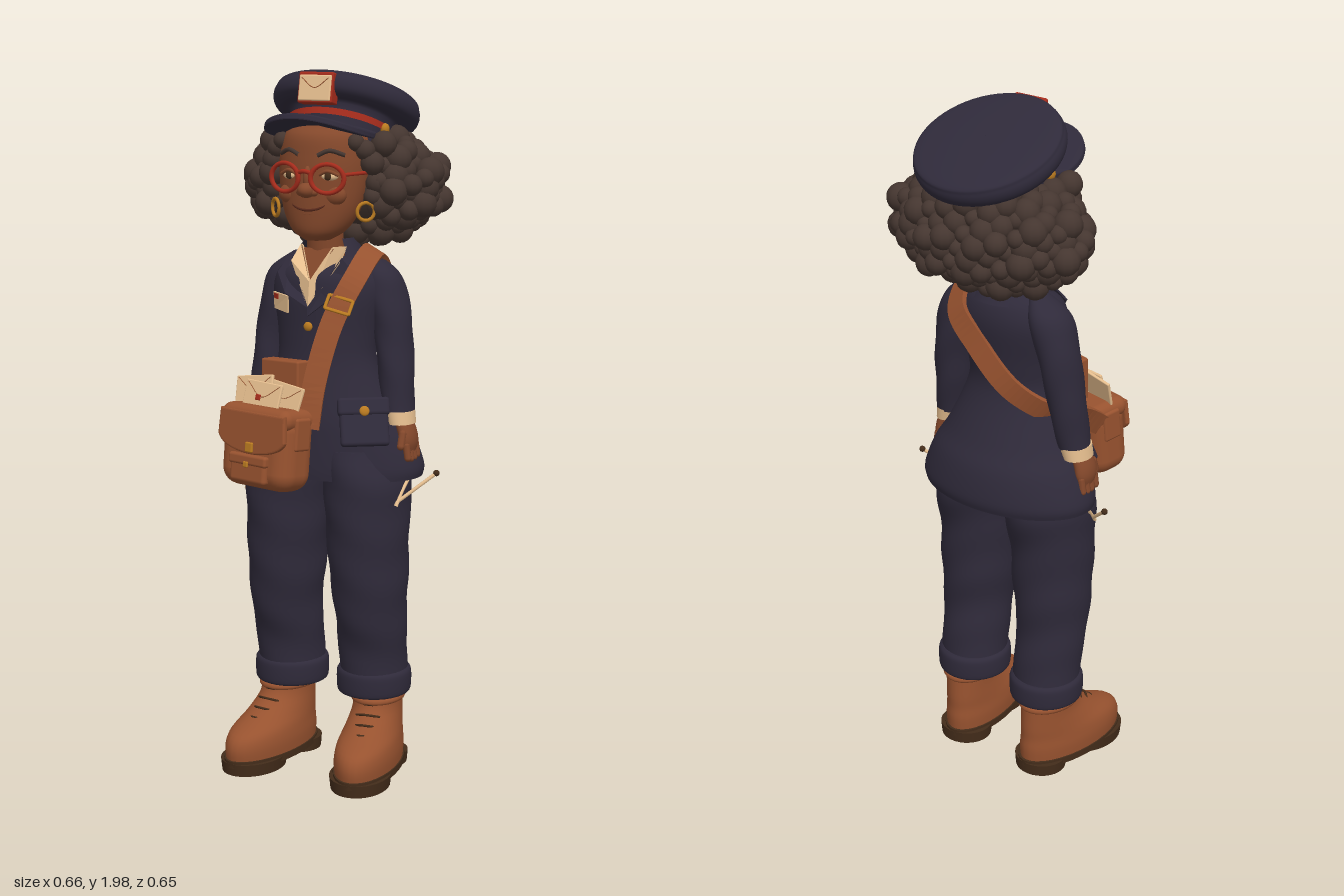
import * as THREE from 'three';
import { mergeGeometries } from 'three/addons/utils/BufferGeometryUtils.js';
import { RoundedBoxGeometry } from 'three/addons/geometries/RoundedBoxGeometry.js';

const mat = (name, color) => Object.assign(new THREE.MeshStandardMaterial({ color }), { name });
const V = (x, y, z) => new THREE.Vector3(x, y, z);

// rows run bottom to top: [y, centreX, centreZ, radiusX, radiusZ]
function loft(rows, { seg = 32, steps = 5, fold = 0, side = 1 } = {}) {
  const spline = [1, 2, 3, 4, 0].map(k => new THREE.SplineCurve(rows.map((r, i) => new THREE.Vector2(i, r[k]))));
  const n = (rows.length - 1) * steps, pos = [], idx = [];
  for (let i = 0; i <= n; i++) {
    const [cx, cz, rx, rz, y] = spline.map(s => s.getPoint(i / n).y);
    for (let j = 0; j < seg; j++) {
      const a = j / seg * Math.PI * 2, f = 1 + fold * Math.sin(y * 42 + 2 * Math.sin(a + 1) * 1.7);
      pos.push(cx * side + Math.cos(a) * rx * f, y, cz + Math.sin(a) * rz * f);
    }
  }
  for (let i = 0; i < n; i++) for (let j = 0; j < seg; j++) {
    const a = i * seg + j, b = i * seg + (j + 1) % seg;
    idx.push(a, a + seg, b, b, a + seg, b + seg);
  }
  // flat end caps with their own vertices
  for (const end of [0, n]) {
    const start = pos.length / 3, ring = pos.slice(end * seg * 3, (end + 1) * seg * 3), r = rows[end ? rows.length - 1 : 0];
    pos.push(...ring, r[1] * side, r[0], r[2]);
    for (let j = 0; j < seg; j++) {
      const a = start + j, b = start + (j + 1) % seg;
      end ? idx.push(a, start + seg, b) : idx.push(a, b, start + seg);
    }
  }
  const g = new THREE.BufferGeometry();
  g.setAttribute('position', new THREE.Float32BufferAttribute(pos, 3));
  g.setIndex(idx);
  g.computeVertexNormals();
  return g;
}

// flat strap swept along a path, facing away from the chest
function strapGeometry(points, halfWidth, halfThick) {
  const curve = new THREE.CatmullRomCurve3(points), n = 70, pos = [], idx = [], mid = V(0, 1.25, -0.02);
  for (let i = 0; i <= n; i++) {
    const p = curve.getPoint(i / n), t = curve.getTangent(i / n), out = p.clone().sub(mid);
    const b = t.clone().cross(out).normalize(), o = b.clone().cross(t).normalize();
    for (const [u, v] of [[-1, -1], [1, -1], [1, 1], [-1, 1]])
      pos.push(...p.clone().addScaledVector(b, u * halfWidth).addScaledVector(o, v * halfThick).toArray());
  }
  for (let i = 0; i < n; i++) for (let j = 0; j < 4; j++) {
    const a = i * 4 + j, b = i * 4 + (j + 1) % 4;
    idx.push(a, b, a + 4, b, b + 4, a + 4);
  }
  let g = new THREE.BufferGeometry();
  g.setAttribute('position', new THREE.Float32BufferAttribute(pos, 3));
  g.setIndex(idx);
  g = g.toNonIndexed();
  g.computeVertexNormals();
  return g;
}

const TORSO = [[0.865, 0, -0.035, 0.268, 0.17], [0.9, 0, -0.037, 0.27, 0.174], [0.98, 0, -0.03, 0.24, 0.166],
  [1.05, 0, -0.015, 0.2, 0.147], [1.18, 0, 0, 0.147, 0.11], [1.27, 0, -0.005, 0.147, 0.11], [1.38, 0, -0.015, 0.165, 0.12],
  [1.44, 0, -0.02, 0.145, 0.11], [1.49, 0, -0.015, 0.09, 0.088], [1.515, 0, -0.01, 0.06, 0.065]];

// front surface of the chest
function torsoZ(x, y) {
  const i = Math.max(1, TORSO.findIndex(r => r[0] >= y)), a = TORSO[i - 1], b = TORSO[i];
  const t = (y - a[0]) / (b[0] - a[0]), l = k => a[k] + (b[k] - a[k]) * t;
  return l(2) + l(4) * Math.sqrt(Math.max(0.08, 1 - (x / l(3)) ** 2));
}

export function createModel() {
  const root = new THREE.Group();
  const navy = mat('navy cloth', 0x2f2a3a), leather = mat('tan leather', 0x97522f), skin = mat('skin', 0x84482b);
  const hair = mat('hair', 0x453630), cream = mat('cream', 0xe8c090), red = mat('red', 0xa62c1c);
  const gold = mat('gold', 0xb97a20), dark = mat('dark brown', 0x432c1a), lip = mat('lip', 0x5a2a1c);
  navy.side = leather.side = THREE.DoubleSide;

  const add = (name, g, m, p = [0, 0, 0], r = [0, 0, 0], s = [1, 1, 1], parent = root) => {
    const o = new THREE.Mesh(g, m);
    o.name = name;
    o.position.set(...p); o.rotation.set(...r, 'YXZ'); o.scale.set(...s);
    parent.add(o);
    return o;
  };
  const group = (name, p, r, parent = root) => {
    const g = new THREE.Group();
    g.name = name; g.position.set(...p); g.rotation.set(...r, 'YXZ');
    parent.add(g);
    return g;
  };
  const ball = new THREE.SphereGeometry(1, 20, 14);
  const box = (x, y, z, r = 0.01) => new RoundedBoxGeometry(x, y, z, 4, r);
  const tube = (pts, r) => new THREE.TubeGeometry(new THREE.CatmullRomCurve3(pts.map(p => V(...p))), 16, r, 8);
  const both = f => [1, -1].forEach(f);
  const outline = pts => new THREE.Shape(pts.map(p => new THREE.Vector2(...p)));
  // thin plate laid over the chest
  const chestPlate = (name, pts, m, lift) => {
    const g = new THREE.ExtrudeGeometry(outline(pts), { depth: 0.008, bevelEnabled: false });
    const a = g.attributes.position;
    for (let i = 0; i < a.count; i++) a.setZ(i, a.getZ(i) + torsoZ(a.getX(i), a.getY(i)) + lift);
    g.computeVertexNormals();
    return add(name, g, m);
  };

  // legs, boots and arms
  both(s => {
    add('trouserLeg', loft([[0.24, 0.132, -0.035, 0.095, 0.1], [0.36, 0.132, -0.026, 0.098, 0.1], [0.46, 0.134, -0.008, 0.1, 0.108],
      [0.58, 0.13, -0.003, 0.109, 0.122], [0.72, 0.126, 0, 0.114, 0.132], [0.85, 0.121, -0.01, 0.118, 0.15],
      [0.95, 0.1, -0.01, 0.1, 0.14]], { side: s, fold: 0.018 }), navy);
    add('trouserCuff', loft([[0.225, 0.132, -0.034, 0.095, 0.098], [0.235, 0.132, -0.034, 0.105, 0.108],
      [0.285, 0.132, -0.034, 0.106, 0.109], [0.3, 0.132, -0.034, 0.096, 0.1]], { side: s }), navy);

    const boot = group('boot', [0.15 * s, 0, 0], [0, 0.15 * s, 0]);
    const bootPart = (name, rows, m) => add(name, loft(rows, { steps: 4 }), m, undefined, undefined, undefined, boot);
    bootPart('bootUpper', [[0.035, 0, 0.051, 0.085, 0.187], [0.075, 0, 0.051, 0.087, 0.189], [0.11, 0, 0.041, 0.083, 0.176],
      [0.145, 0, 0.001, 0.075, 0.136], [0.19, 0, -0.032, 0.068, 0.1], [0.25, 0, -0.04, 0.068, 0.088]], leather);
    bootPart('sole', [[0.022, 0, 0.051, 0.089, 0.195], [0.042, 0, 0.051, 0.089, 0.195]], dark);
    bootPart('heel', [[0, 0, -0.07, 0.075, 0.072], [0.035, 0, -0.07, 0.078, 0.074]], dark);
    bootPart('forefootSole', [[0, 0, 0.135, 0.082, 0.108], [0.035, 0, 0.135, 0.086, 0.111]], dark);
    add('bootCollar', new THREE.TorusGeometry(0.068, 0.01, 8, 28), leather, [0, 0.215, -0.037], [Math.PI / 2, 0, 0], [1, 1.3, 1], boot);
    for (let i = 0; i < 4; i++) {
      const y = 0.14 + i * 0.022, z = 0.135 - i * 0.026;
      add('lace', tube([[-0.035, y - 0.006, z - 0.02], [0, y + 0.004, z + 0.002], [0.035, y - 0.006, z - 0.02]], 0.0035), dark, undefined, undefined, undefined, boot);
    }

    add('sleeve', loft([[1.05, 0.212, -0.02, 0.042, 0.05], [1.15, 0.198, -0.03, 0.048, 0.058], [1.25, 0.186, -0.04, 0.051, 0.063],
      [1.36, 0.164, -0.045, 0.056, 0.068], [1.43, 0.138, -0.045, 0.054, 0.062], [1.478, 0.105, -0.045, 0.02, 0.03]],
      { side: s, fold: 0.025 }), navy);
    add('shirtCuff', loft([[1.02, 0.222, -0.016, 0.037, 0.05], [1.055, 0.214, -0.018, 0.041, 0.052]], { side: s }), cream);
    add('hand', loft([[0.945, 0.248, -0.012, 0.015, 0.03], [0.97, 0.246, -0.012, 0.022, 0.04], [1.0, 0.24, -0.012, 0.024, 0.039],
      [1.04, 0.224, -0.014, 0.025, 0.032]], { side: s }), skin);
    for (let i = 0; i < 4; i++)
      add('finger', new THREE.CapsuleGeometry(0.0105, 0.035, 4, 8), skin, [0.254 * s, 0.94 + 0.004 * Math.abs(i - 1.5), 0.018 - i * 0.02], [0, 0, 0.15 * s]);
    add('thumb', new THREE.CapsuleGeometry(0.011, 0.035, 4, 8), skin, [0.243 * s, 0.98, 0.03], [-0.35, 0, 0]);

    // crossed knitting needles at the hip
    const a = V(0.2 * s, 0.775, 0.07), b = V(0.322 * s, 0.883, -0.03);
    add('needle', tube([a.toArray(), a.clone().lerp(b, 0.5).toArray(), b.toArray()], 0.005), cream);
    add('needleKnob', ball, dark, b.toArray(), undefined, [0.009, 0.009, 0.009]);
    add('crossedNeedle', tube([[0.236 * s, 0.795, 0.05], [0.24 * s, 0.83, 0.022], [0.245 * s, 0.862, -0.01]], 0.005), cream);

    // hip pocket
    const pocket = group('hipPocket', [0.153 * s, 1.035, 0.083], [-0.38, 0.6 * s, 0]);
    add('pocketBody', box(0.135, 0.12, 0.025), navy, [0, -0.01, 0], undefined, undefined, pocket);
    add('pocketFlap', box(0.145, 0.05, 0.035), navy, [0, 0.04, 0], undefined, undefined, pocket);
    add('pocketButton', ball, gold, [0, 0.025, 0.019], undefined, [0.014, 0.014, 0.007], pocket);
  });

  // jacket, collar and shirt
  add('jacket', loft([...TORSO.slice(0, 8), [1.475, 0, -0.04, 0.1, 0.07]], { seg: 48 }), navy);
  add('neck', loft([[1.38, 0, 0, 0.055, 0.055], [1.57, 0, 0.02, 0.05, 0.05]]), skin);
  add('collar', new THREE.CylinderGeometry(0.068, 0.114, 0.075, 32, 1, true, 0.95, Math.PI * 2 - 1.9), navy, [0, 1.488, -0.018]);
  chestPlate('throat', [[0, 1.405], [0.048, 1.5], [-0.048, 1.5]], skin, 0.004);
  both(s => {
    chestPlate('shirtCollar', [[0, 1.34], [0.074 * s, 1.465], [0.07 * s, 1.505], [0.045 * s, 1.505], [0, 1.415]], cream, 0.009);
    chestPlate('lapel', [[0, 1.32], [0.075 * s, 1.38], [0.122 * s, 1.43], [0.098 * s, 1.48], [0.076 * s, 1.478], [0, 1.345]], navy, 0.013);
  });
  chestPlate('nameTag', [[-0.13, 1.328], [-0.068, 1.323], [-0.068, 1.37], [-0.13, 1.375]], cream, 0.009);
  chestPlate('tagMark', [[-0.126, 1.358], [-0.108, 1.357], [-0.108, 1.371], [-0.126, 1.372]], red, 0.011);
  add('jacketButton', ball, gold, [-0.005, 1.29, 0.11], undefined, [0.013, 0.013, 0.008]);

  // shoulder strap and satchel
  add('strap', strapGeometry([V(0.05, 1.03, 0.22), V(0.058, 1.15, 0.195), V(0.085, 1.31, 0.143), V(0.122, 1.425, 0.08), V(0.125, 1.49, -0.035),
    V(0.1, 1.42, -0.137), V(0.03, 1.33, -0.142), V(-0.07, 1.22, -0.125), V(-0.145, 1.15, -0.06), V(-0.165, 1.1, 0.06),
    V(-0.17, 1.02, 0.18)], 0.031, 0.007), leather);
  const buckle = group('strapBuckle', [0.1, 1.36, 0.132], [-0.5, 0.4, -0.3]);
  both(s => {
    add('buckleBar', box(0.07, 0.009, 0.008, 0.003), gold, [0, 0.02 * s, 0], undefined, undefined, buckle);
    add('buckleSide', box(0.009, 0.045, 0.008, 0.003), gold, [0.034 * s, 0, 0], undefined, undefined, buckle);
  });
  const bag = group('satchel', [-0.068, 0.97, 0.233], [-0.1, -0.25, 0]);
  const inBag = (name, g, m, p, r) => add(name, g, m, p, r, undefined, bag);
  inBag('bagBody', box(0.252, 0.215, 0.132, 0.05), leather, [0, -0.004, 0]);
  const flap = new THREE.Shape();
  flap.moveTo(-0.112, 0.035);
  flap.lineTo(-0.116, -0.03);
  flap.quadraticCurveTo(-0.1, -0.065, 0, -0.07);
  flap.quadraticCurveTo(0.1, -0.065, 0.116, -0.03);
  flap.lineTo(0.112, 0.035);
  inBag('flapFront', new THREE.ExtrudeGeometry(flap, { depth: 0.006, bevelSize: 0.006, bevelThickness: 0.005, bevelSegments: 3 }), leather, [0, 0.06, 0.06]);
  inBag('flapTop', box(0.248, 0.06, 0.14, 0.029), leather, [0, 0.086, 0.001]);
  inBag('bagPocket', box(0.13, 0.075, 0.03, 0.012), leather, [0, -0.057, 0.063]);
  inBag('bagPocketFlap', box(0.136, 0.03, 0.036, 0.008), leather, [0, -0.03, 0.064]);
  inBag('bagClasp', box(0.026, 0.028, 0.01, 0.004), gold, [0, 0.004, 0.073]);
  inBag('pocketClasp', box(0.016, 0.016, 0.008, 0.003), gold, [0, -0.042, 0.083]);
  both(s => inBag('strapTab', box(0.02, 0.09, 0.06, 0.008), leather, [0.12 * s, 0.05, 0]));
  inBag('parcel', box(0.135, 0.13, 0.05, 0.006), leather, [0.02, 0.178, -0.035], [0.05, 0, 0.03]);
  [[-0.055, 0.142, 0.005, 0.14], [0.045, 0.132, 0, -0.12], [-0.005, 0.13, 0.028, -0.03]].forEach(([x, y, z, tilt]) => {
    const letter = group('letter', [x, y, z], [-0.2, 0, tilt], bag);
    add('envelope', box(0.13, 0.1, 0.009, 0.003), cream, undefined, undefined, undefined, letter);
    add('envelopeFold', tube([[-0.058, 0.044, 0.0045], [0, 0.008, 0.0045], [0.058, 0.044, 0.0045]], 0.001), leather, undefined, undefined, undefined, letter);
  });
  inBag('seal', box(0.016, 0.016, 0.006, 0.002), red, [-0.015, 0.137, 0.033], [-0.2, 0, 0]);

  // head and face
  add('head', loft([[1.525, 0, 0.06, 0.035, 0.04], [1.55, 0, 0.05, 0.075, 0.07], [1.6, 0, 0.035, 0.107, 0.09],
    [1.67, 0, 0.02, 0.125, 0.105], [1.75, 0, 0.01, 0.13, 0.11], [1.815, 0, 0, 0.114, 0.104], [1.842, 0, -0.03, 0.07, 0.07]]), skin);
  add('nose', ball, skin, [0, 1.664, 0.128], undefined, [0.025, 0.021, 0.028]);
  add('noseBridge', ball, skin, [0, 1.695, 0.118], undefined, [0.013, 0.035, 0.018]);
  add('mouth', tube([[-0.062, 1.635, 0.105], [-0.035, 1.616, 0.118], [0, 1.61, 0.124], [0.035, 1.616, 0.118], [0.062, 1.635, 0.105]], 0.004), lip);
  add('lowerLip', ball, skin, [0, 1.6, 0.117], undefined, [0.028, 0.008, 0.008]);
  add('glassesBridge', tube([[-0.022, 1.71, 0.137], [0, 1.716, 0.143], [0.022, 1.71, 0.137]], 0.006), red);
  both(s => {
    add('nostril', ball, skin, [0.019 * s, 1.659, 0.122], undefined, [0.013, 0.012, 0.016]);
    add('cheek', ball, skin, [0.065 * s, 1.65, 0.092], undefined, [0.036, 0.028, 0.024]);
    add('eye', ball, cream, [0.06 * s, 1.702, 0.107], [0, 0.3 * s, 0], [0.024, 0.012, 0.012]);
    add('iris', ball, dark, [0.058 * s, 1.702, 0.116], undefined, [0.0105, 0.011, 0.006]);
    add('eyelid', tube([[0.034 * s, 1.706, 0.118], [0.058 * s, 1.716, 0.118], [0.086 * s, 1.705, 0.106]], 0.005), skin);
    add('eyebrow', tube([[0.028 * s, 1.757, 0.117], [0.06 * s, 1.77, 0.11], [0.096 * s, 1.758, 0.088]], 0.006), hair);
    add('glassesRim', new THREE.TorusGeometry(0.043, 0.0065, 8, 32), red, [0.064 * s, 1.697, 0.131], [0, 0.2 * s, 0], [1.08, 0.9, 1]);
    add('glassesArm', tube([[0.107 * s, 1.708, 0.122], [0.133 * s, 1.71, 0.07], [0.145 * s, 1.708, -0.02]], 0.005), red);
    add('earring', new THREE.TorusGeometry(0.024, 0.005, 8, 24), gold, [0.138 * s, 1.605, 0.045], [0, 0.7 * s, 0]);
  });

  // curly hair: a core covered with round clumps
  add('hairCore', ball, hair, [0, 1.667, -0.115], undefined, [0.255, 0.135, 0.158]);
  const clumps = [], count = 240;
  const clump = (x, y, z, r) => clumps.push(new THREE.SphereGeometry(r, 12, 9).translate(x, y, z));
  for (let i = 0; i < count; i++) {
    const h = 1 - 2 * (i + 0.5) / count, a = i * 2.39996, q = Math.sqrt(1 - h * h), k = 0.96 + 0.06 * Math.sin(i * 7.3);
    const x = 0.28 * q * Math.sin(a) * k, y = 1.667 + 0.15 * h * k, z = -0.115 + 0.172 * q * Math.cos(a) * k;
    if ((z > -0.035 && Math.abs(x) < 0.142) || (y > 1.8 && Math.abs(x) < 0.14)) continue;
    clump(x, y, z, 0.032 + 0.008 * Math.sin(i * 3.7));
  }
  both(s => [[0.112, 1.79, 0.055, 0.024], [0.134, 1.77, 0.042, 0.028], [0.15, 1.735, 0.03, 0.033],
    [0.155, 1.68, 0.01, 0.032], [0.17, 1.785, 0, 0.036], [0.155, 1.63, 0, 0.032]].forEach(([x, y, z, r]) => clump(x * s, y, z, r)));
  add('hairCurls', mergeGeometries(clumps), hair);

  // peaked cap, tipped back
  const cap = group('cap', [0, 1.905, -0.13], [-0.43, 0, 0]);
  const capProfile = [[0.142, -0.155], [0.15, -0.075], [0.18, -0.068], [0.2, -0.055], [0.207, -0.035], [0.203, -0.015], [0.188, 0], [0.1, 0.01], [0.001, 0.013]];
  add('capCrown', new THREE.LatheGeometry(new THREE.SplineCurve(capProfile.map(p => new THREE.Vector2(...p))).getPoints(40), 56), navy, undefined, undefined, [1, 1, 0.97], cap);
  add('capBand', new THREE.CylinderGeometry(0.154, 0.152, 0.018, 40, 1, true, -1.4, 2.8), red, [0, -0.104, 0], undefined, undefined, cap);
  const brim = new THREE.Shape();
  brim.absellipse(0, 0.1, 0.15, 0.182, 0, Math.PI, false);
  brim.absellipse(0, 0.04, 0.135, 0.08, Math.PI, 0, true);
  const visor = new THREE.ExtrudeGeometry(brim, { depth: 0.01, bevelSize: 0.004, bevelThickness: 0.004, bevelSegments: 2, curveSegments: 32 });
  visor.rotateX(Math.PI / 2);
  const vp = visor.attributes.position;
  for (let i = 0; i < vp.count; i++) vp.setY(i, vp.getY(i) - 0.12 - 0.27 * (vp.getZ(i) - 0.1) - 1.2 * vp.getX(i) ** 2);
  visor.computeVertexNormals();
  add('visor', visor, navy, undefined, undefined, undefined, cap);
  both(s => add('capSideButton', ball, gold, [0.148 * s, -0.108, 0.035], undefined, [0.012, 0.016, 0.016], cap));
  add('badgeBacking', box(0.104, 0.084, 0.04, 0.005), red, [0, 1.932, 0.056], [-0.2, 0, 0]);
  add('badge', box(0.096, 0.07, 0.01, 0.004), cream, [0, 1.934, 0.075], [-0.2, 0, 0]);
  add('badgeFold', tube([[-0.04, 1.961, 0.075], [0, 1.935, 0.08], [0.04, 1.961, 0.075]], 0.0012), leather);
  return root;
}
